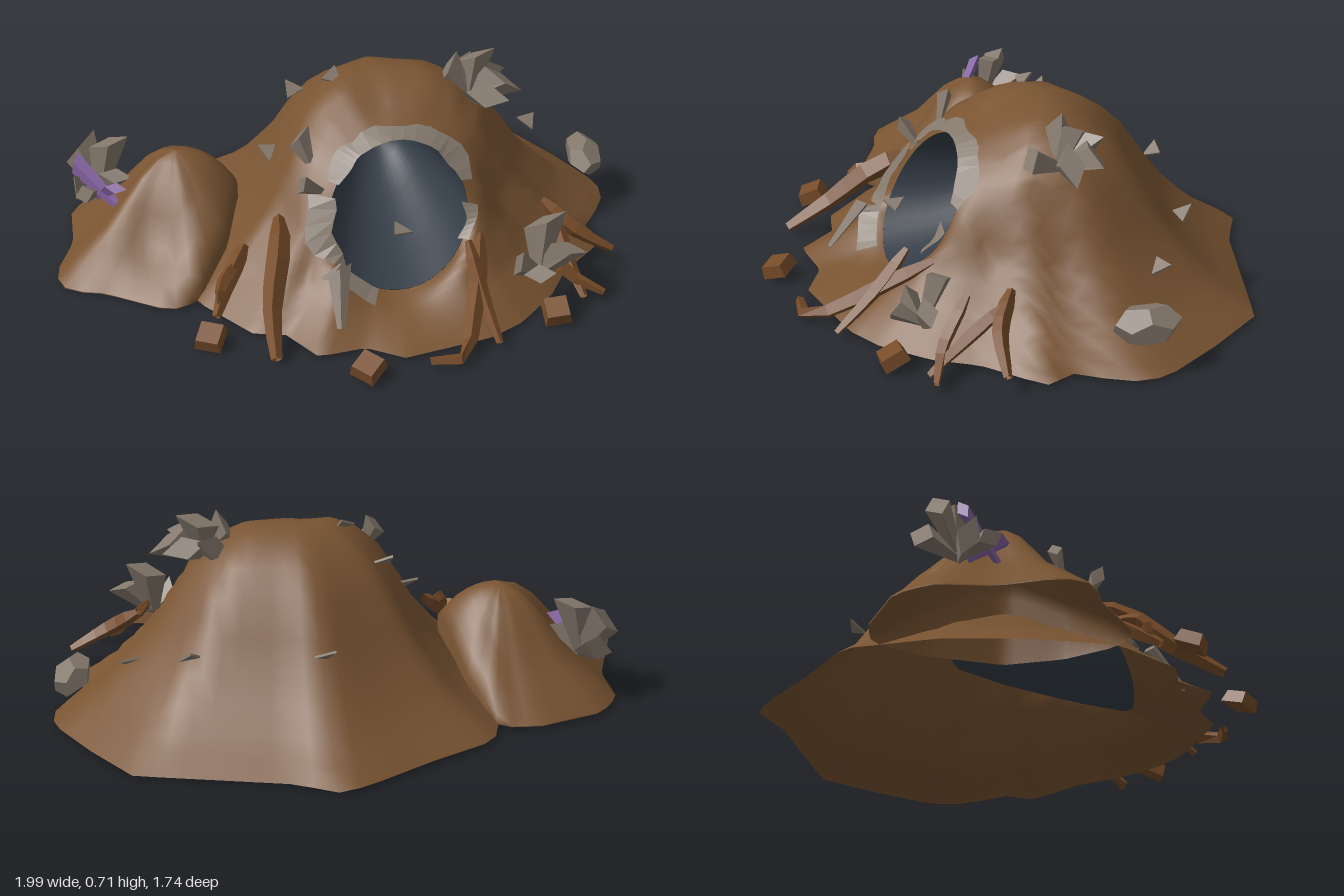
import * as THREE from 'three';

const mat = (name, color, flatShading = false) =>
  Object.assign(new THREE.MeshStandardMaterial({ color, flatShading, side: THREE.DoubleSide }), { name });

// Plan outlines as [x, z] corners
const MAIN = [[0.07, -0.88], [0.15, -0.81], [0.71, -0.72], [0.86, -0.53], [1, -0.32], [1, -0.18], [0.91, -0.04],
  [0.96, 0.07], [0.8, 0.25], [0.73, 0.4], [0.61, 0.55], [0.5, 0.63], [0.2, 0.73], [0.07, 0.67], [-0.09, 0.71],
  [-0.2, 0.58], [-0.3, 0.58], [-0.5, 0.38], [-0.56, 0.1], [-0.57, -0.2], [-0.5, -0.52], [-0.28, -0.66], [-0.05, -0.83]];
const SIDE = [[-1, 0.2], [-0.95, 0.3], [-0.82, 0.32], [-0.59, 0.43], [-0.49, 0.38], [-0.39, 0.2], [-0.35, 0],
  [-0.43, -0.25], [-0.54, -0.42], [-0.67, -0.42], [-0.9, -0.32], [-0.97, -0.2], [-0.95, 0]];

// Distance from (cx, cz) along an angle to an outline
function reach(cx, cz, angle, outline) {
  const dx = Math.cos(angle), dz = Math.sin(angle);
  let best = 0;
  outline.forEach(([ax, az], i) => {
    const [bx, bz] = outline[(i + 1) % outline.length];
    const ex = bx - ax, ez = bz - az, det = dx * ez - dz * ex;
    if (Math.abs(det) < 1e-9) return;
    const d = ((ax - cx) * ez - (az - cz) * ex) / det;
    const f = ((ax - cx) * dz - (az - cz) * dx) / det;
    if (d > 0 && f >= -1e-6 && f <= 1 + 1e-6) best = Math.max(best, d);
  });
  return best;
}

// Piecewise linear height profile
function profile(points, u) {
  for (let i = 1; i < points.length; i++) {
    const [u0, y0] = points[i - 1], [u1, y1] = points[i];
    if (u <= u1) return y0 + (y1 - y0) * (u - u0) / (u1 - u0);
  }
  return points[points.length - 1][1];
}

const HILL = [[0, 0.675], [0.2, 0.66], [0.33, 0.605], [0.45, 0.51], [0.62, 0.29], [0.8, 0.135], [1, 0.025]];
function hillHeight(x, z) {
  const dx = x - 0.17, dz = z + 0.03;
  return profile(HILL, Math.hypot(dx, dz) / reach(0.17, -0.03, Math.atan2(dz, dx), MAIN));
}

// Cave mouth: a leaning ring turned slightly to the side
const mouth = (t) => [0.2 + 0.24 * Math.cos(t), 0.325 - 0.225 * Math.sin(t),
  0.32 - 0.03 * Math.cos(t) + 0.125 * Math.sin(t)];

// Hill skin from the cave mouth (s = 0) to the ground outline (s = 1)
function hillPoint(t, s) {
  const n = Math.sin(t), r = reach(0.2, 0.32, t, MAIN), [mx, rim, mz] = mouth(t);
  const x = mx + (0.2 + Math.cos(t) * r - mx) * s, z = mz + (0.32 + n * r - mz) * s;
  let y = rim + (hillHeight(x, z) - rim) * Math.min(1, s * 4);
  if (n > 0) y += (rim + (0.025 - rim) * s - y) * n * n;
  return [x, y, z];
}

// Surface of rings: point(angle, row) for rows 0..rows
function ringSurface(point, sides, rows, t0 = 0, t1 = Math.PI * 2) {
  const closed = t1 - t0 > 6.28, pos = [], index = [], cols = closed ? sides : sides + 1;
  for (let j = 0; j <= rows; j++)
    for (let i = 0; i < cols; i++) pos.push(...point(t0 + (t1 - t0) * i / sides, j));
  for (let j = 0; j < rows; j++)
    for (let i = 0; i < sides; i++) {
      const k = (i + 1) % cols, a = j * cols + i, b = j * cols + k, c = a + cols, d = b + cols;
      index.push(a, b, c, b, d, c);
    }
  const g = new THREE.BufferGeometry();
  g.setAttribute('position', new THREE.Float32BufferAttribute(pos, 3));
  g.setIndex(index);
  g.computeVertexNormals();
  return g;
}

export function createModel() {
  const model = new THREE.Group();
  const earth = mat('earth brown', 0x795432);
  const rootMat = mat('root brown', 0x774c29, true);
  const stone = mat('stone grey', 0x85796d, true);
  const dark = mat('cave dark', 0x353e48);
  const purple = mat('crystal purple', 0x83609f, true);
  const add = (name, geometry, material, parent = model) => {
    const m = new THREE.Mesh(geometry, material);
    m.name = name;
    parent.add(m);
    return m;
  };
  const group = (name) => {
    const g = new THREE.Group();
    g.name = name;
    model.add(g);
    return g;
  };

  // Main hill, open at the cave mouth and underneath
  add('mainHill', ringSurface((t, j) => hillPoint(t, j / 14), 96, 14), earth);

  // Cave pocket tapering back into the hill to a blunt end
  const taper = [[0, 1], [0.25, 0.88], [0.5, 0.72], [0.75, 0.54], [1, 0.3], [1.04, 0]];
  add('cavePocket', ringSurface((t, j) => {
    const [f, r] = taper[j], [x, y, z] = mouth(t);
    return [0.2 - 0.04 * f + (x - 0.2) * r, 0.325 - 0.02 * f + (y - 0.325) * r, 0.32 - 0.52 * f + (z - 0.32) * r];
  }, 32, 5), dark);

  // Side hill with a steep wall against the main hill and a hollow in front
  add('sideHill', ringSurface((t, j) => {
    const u = Math.min(1, j / 7), r = reach(-0.57, -0.02, t, SIDE) * u;
    const x = -0.57 + Math.cos(t) * r, z = -0.02 + Math.sin(t) * r;
    const wall = Math.max(0, Math.cos(t)), edge = 0.03 + 0.24 * wall;
    const fall = profile([[0, 1], [0.2, 0.93], [0.38, 0.7], [0.55, 0.44], [1, 0]], u);
    const round = 1 - u ** 2.4;
    const hollow = 0.05 * Math.exp(-((x + 0.64) ** 2 + (z - 0.22) ** 2) / 0.008);
    const y = edge + (0.4 - edge) * (fall + (round - fall) * wall) - hollow;
    return [x, j === 8 ? 0.025 : y, z];
  }, 48, 8), earth);

  // Stone patches set around the cave mouth: [start angle, end angle, width]
  const rim = group('caveRimStones');
  [[-2.15, -1.15, 0.075], [-1.2, -0.4, 0.1], [-2.65, -2.15, 0.08], [2.55, 3.45, 0.2], [-0.1, 0.4, 0.1],
    [1.9, 2.6, 0.32]].forEach(([t0, t1, w], k) => add('rimStone', ringSurface((t, j) => {
    const rough = 0.85 + 0.15 * Math.sin(t * 9 + k * 2);
    const [x, y, z] = hillPoint(t, j ? w * rough : 0);
    const inset = j ? 1 : 0.94 + 0.04 * Math.sin(t * 11);
    return [0.2 + (x - 0.2) * inset, y + 0.014, z + 0.024];
  }, 6, 1, t0, t1), stone, rim));

  // Stone shard: flattened, wider at its slanted outer end, pointing along dir
  const up = new THREE.Vector3(0, 1, 0);
  const shard = (parent, [x, y, z], dir, len, wide, material = stone, name = 'shard') => {
    const g = new THREE.CylinderGeometry(wide, wide * 0.35, len, 4, 1);
    const p = g.attributes.position;
    for (let i = 0; i < p.count; i++)
      if (p.getY(i) > 0) p.setY(i, p.getY(i) + p.getX(i) * 0.5);
    g.scale(1, 1, 0.6).translate(0, len / 2, 0);
    const m = add(name, g, material, parent);
    m.position.set(x, y, z);
    m.quaternion.setFromUnitVectors(up, new THREE.Vector3(...dir).normalize());
  };
  const top = group('topShards');
  [[[-0.6, 0.8, -0.1], 0.13, 0.07], [[0.15, 1, -0.3], 0.15, 0.07], [[1, 0.5, -0.1], 0.14, 0.075],
    [[0.4, 0.45, 0.8], 0.14, 0.07], [[-0.3, 0.55, -0.9], 0.13, 0.07], [[0.5, 0.5, -0.8], 0.14, 0.07]]
    .forEach(([d, l, w]) => shard(top, [0.47, 0.55, -0.09], d, l, w));
  const left = group('crystalCluster');
  [[[-0.8, 0.35, 0.3], 0.1, 0.065], [[-0.4, 0.9, -0.4], 0.18, 0.07], [[0.2, 1, -0.1], 0.2, 0.065],
    [[-0.3, 0.5, -0.9], 0.14, 0.07], [[-0.4, 0.4, 0.8], 0.12, 0.055], [[0.4, 0.6, 0.3], 0.12, 0.055]]
    .forEach(([d, l, w]) => shard(left, [-0.85, 0.17, -0.12], d, l, w));
  shard(left, [-0.74, 0.15, 0.03], [-0.7, 0.55, -0.5], 0.28, 0.035, purple, 'crystal');
  shard(left, [-0.86, 0.16, -0.09], [0.5, 0.7, 0.7], 0.17, 0.035, purple, 'crystal');
  const right = group('rightShards');
  [[[-0.8, 0.6, 0.3], 0.1, 0.055], [[0.1, 1, -0.3], 0.19, 0.07], [[0.7, 0.7, 0], 0.14, 0.06],
    [[-0.1, 0.5, 0.8], 0.1, 0.055]].forEach(([d, l, w]) => shard(right, [0.68, 0.14, 0.42], d, l, w));
  const mouthStones = group('mouthShards');
  shard(mouthStones, [-0.01, 0.07, 0.62], [0, 0.8, -0.6], 0.2, 0.04);
  shard(mouthStones, [-0.1, 0.47, 0.2], [-0.4, 1, -0.3], 0.1, 0.045);
  shard(mouthStones, [-0.06, 0.4, 0.28], [-0.5, 0.4, 0.3], 0.1, 0.045);

  // Embedded boulder on the right slope
  const boulder = add('boulder', new THREE.DodecahedronGeometry(0.1), stone);
  boulder.scale.set(0.75, 0.6, 1.2);
  boulder.position.set(0.93, 0.19, -0.27);
  boulder.rotation.z = -0.6;

  // Small loose triangular chips: position, forward tilt
  const chips = group('stoneChips');
  [[0.07, 0.36, -0.54, 0.6], [0.52, 0.35, -0.51, 0.6], [0.73, 0.28, -0.37, 0.5], [-0.15, 0.55, -0.17, 0.6],
    [-0.01, 0.65, -0.08, 0.7], [-0.24, 0.4, 0, 0.6], [0.2, 0.33, 0.42, 0.08]].forEach(([x, y, z, tilt], i) => {
    const c = add('chip', new THREE.CylinderGeometry(0.042, 0.042, 0.008, 3), stone, chips);
    c.position.set(x, y, z);
    c.rotation.set(tilt, i * 1.3, -0.25, 'ZXY');
  });

  // Bent roots creeping down the front: points, thickness
  const roots = group('roots');
  [[[[-0.21, 0.3, 0.28], [-0.21, 0.27, 0.4], [-0.24, 0.13, 0.58], [-0.23, 0.04, 0.74]], 0.038],
    [[[-0.33, 0.21, 0.31], [-0.39, 0.13, 0.42], [-0.43, 0.06, 0.52]], 0.03],
    [[[-0.36, 0.17, 0.36], [-0.41, 0.15, 0.46], [-0.42, 0.07, 0.49]], 0.023],
    [[[0.48, 0.25, 0.34], [0.46, 0.17, 0.5], [0.42, 0.07, 0.68], [0.41, 0.05, 0.76], [0.28, 0.04, 0.77]], 0.03],
    [[[0.43, 0.28, 0.42], [0.47, 0.15, 0.54], [0.52, 0.04, 0.68]], 0.024],
    [[[0.72, 0.25, 0.13], [0.82, 0.17, 0.19], [0.97, 0.08, 0.2]], 0.028],
    [[[0.76, 0.22, 0.16], [0.79, 0.13, 0.29], [0.84, 0.04, 0.43]], 0.026],
    [[[0.69, 0.23, 0.27], [0.78, 0.11, 0.37], [0.91, 0.05, 0.42]], 0.024]].forEach(([pts, r]) => {
    const curve = new THREE.CatmullRomCurve3(pts.map((p) => new THREE.Vector3(...p)));
    const rows = 6, sides = 4, frames = curve.computeFrenetFrames(rows);
    // Thickest a third of the way down, tapering to both ends
    add('root', ringSurface((t, j) => {
      const w = r * [0.5, 0.95, 1.05, 1, 0.85, 0.7, 0.5][j];
      return curve.getPointAt(j / rows).addScaledVector(frames.normals[j], w * Math.cos(t))
        .addScaledVector(frames.binormals[j], w * Math.sin(t)).toArray();
    }, sides, rows), rootMat, roots);
  });

  // Earth clods in front
  const clods = group('clods');
  [[-0.45, 0.055, 0.62, 0.5], [0.07, 0.06, 0.815, 0.15], [0.73, 0.06, 0.53, 0.9]].forEach(([x, y, z, a]) => {
    const c = add('clod', new THREE.CylinderGeometry(0.055, 0.065, 0.045, 4), rootMat, clods);
    c.position.set(x, y, z);
    c.rotation.set(0.35, a, 0.1);
  });
  return model;
}
